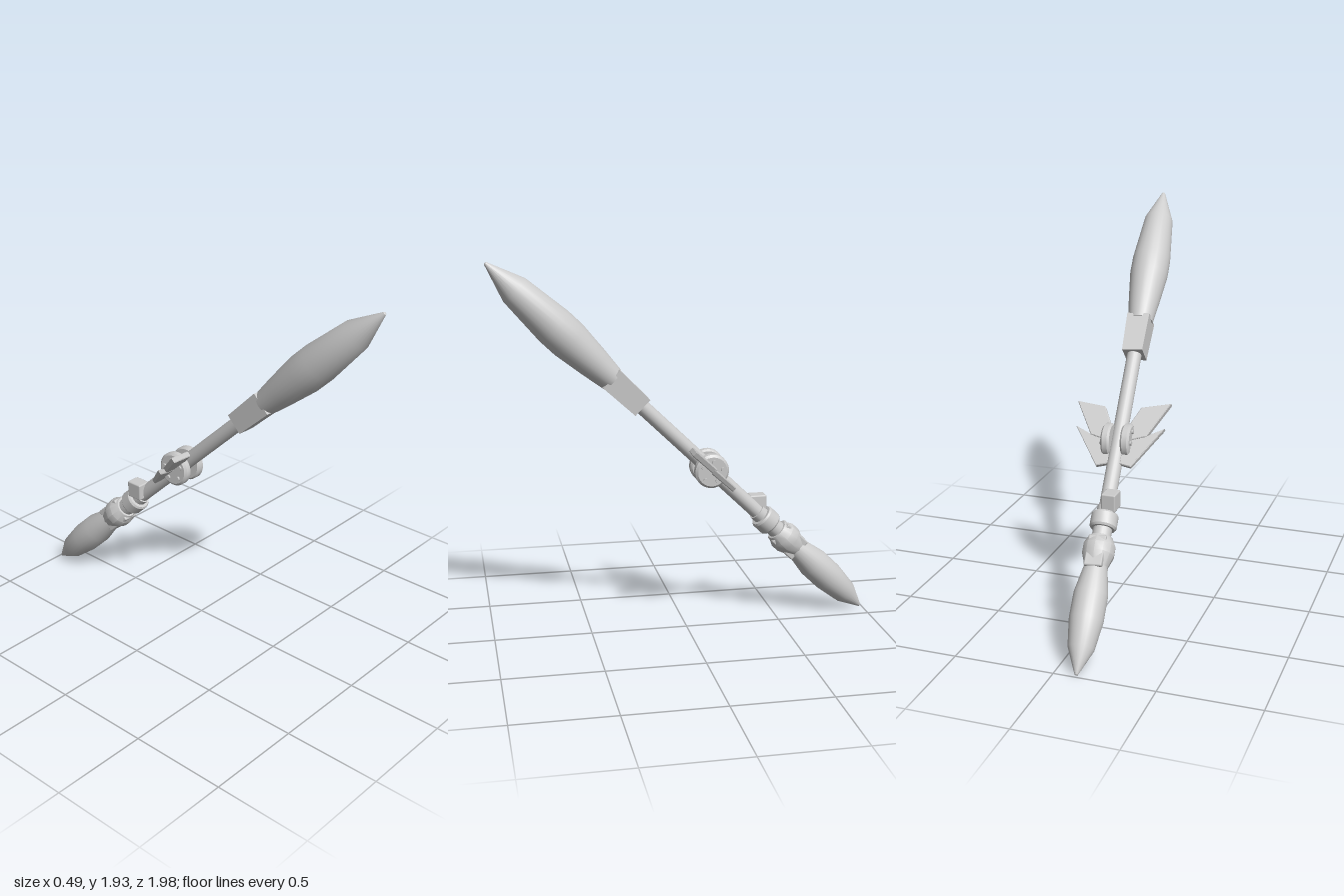
import * as THREE from 'three';
import { toCreasedNormals } from 'three/addons/utils/BufferGeometryUtils.js';
import { RoundedBoxGeometry } from 'three/addons/geometries/RoundedBoxGeometry.js';

const grey = new THREE.MeshStandardMaterial({ color: 0xcccccc });
grey.name = 'light grey';

function add(parent, name, geometry, x = 0, y = 0, z = 0) {
  const mesh = new THREE.Mesh(geometry, grey);
  mesh.name = name;
  mesh.position.set(x, y, z);
  parent.add(mesh);
  return mesh;
}

// Turned part from [radius, height] pairs
const turned = (pairs, sides = 24, crease = 0.6) => toCreasedNormals(
  new THREE.LatheGeometry(pairs.map(([r, h]) => new THREE.Vector2(r, h)), sides), crease);

// Square block whose half width changes from bottom to top
function taperedBlock(bottom, top, height) {
  const g = new THREE.CylinderGeometry(top * Math.SQRT2, bottom * Math.SQRT2, height, 4);
  g.rotateY(Math.PI / 4);
  return toCreasedNormals(g, 0.3);
}

// Flat wing blade in the local xy plane
function plate(points, thickness) {
  const shape = new THREE.Shape(points.map(([x, y]) => new THREE.Vector2(x, y)));
  const g = new THREE.ExtrudeGeometry(shape, {
    depth: thickness - 0.008, bevelEnabled: true, bevelThickness: 0.004,
    bevelSize: 0.004, bevelOffset: -0.004, bevelSegments: 1,
  });
  g.translate(0, 0, -thickness / 2 + 0.004);
  return g;
}

export function createModel() {
  const model = new THREE.Group();
  model.name = 'doubleEndedSpear';

  // Weapon frame: y runs along the shaft from the lower tip
  const spear = new THREE.Group();
  spear.name = 'spear';
  const axis = new THREE.Vector3(0.21, 1.93, 1.98).normalize();
  const side = new THREE.Vector3(1, 0, 0).addScaledVector(axis, -axis.x).normalize();
  const depth = new THREE.Vector3().crossVectors(side, axis);
  spear.quaternion.setFromRotationMatrix(new THREE.Matrix4().makeBasis(side, axis, depth));
  spear.position.set(-0.11, 0.008, -0.99);
  model.add(spear);

  // Shaft
  add(spear, 'shaft', new THREE.CylinderGeometry(0.038, 0.038, 1.3, 20), 0, 1.15, 0);

  // Upper blade and socket
  add(spear, 'upperBlade', turned([[0, 1.92], [0.065, 1.925], [0.082, 2.05], [0.101, 2.22],
    [0.101, 2.32], [0.077, 2.58], [0.008, 2.766], [0, 2.77]]));
  add(spear, 'upperSocket', taperedBlock(0.054, 0.06, 0.22), 0, 1.83, 0);

  // Lower blade
  add(spear, 'lowerBlade', turned([[0, 0], [0.008, 0.004], [0.064, 0.13], [0.083, 0.27],
    [0.083, 0.4], [0.055, 0.55], [0, 0.555]]));

  // Lower socket: clamp block, bulge, neck and collar
  add(spear, 'clampBlock', new RoundedBoxGeometry(0.09, 0.16, 0.13, 1, 0.008), 0, 0.6, 0);
  add(spear, 'socketBulge', turned([[0, 0.53], [0.055, 0.53], [0.08, 0.6], [0.08, 0.645],
    [0.058, 0.69], [0, 0.69]], 12, 0.55));
  add(spear, 'neck', new THREE.CylinderGeometry(0.047, 0.047, 0.1, 20), 0, 0.71, 0);
  add(spear, 'collar', turned([[0, 0.735], [0.06, 0.735], [0.067, 0.745], [0.067, 0.805],
    [0.06, 0.815], [0, 0.815]], 24, 0.5));
  add(spear, 'collarLip', new THREE.CylinderGeometry(0.045, 0.045, 0.04, 20), 0, 0.83, 0);

  // Upright lug beside the collar
  add(model, 'lug', new RoundedBoxGeometry(0.074, 0.09, 0.09, 1, 0.008), -0.07, 0.642, -0.39);

  // Hub discs with bolts, and the forked wings, mirrored
  for (const s of [1, -1]) {
    const hub = new THREE.Group();
    hub.name = s > 0 ? 'leftHub' : 'rightHub';
    hub.position.set(s * 0.052, 1.217, 0);
    hub.rotation.z = -s * Math.PI / 2;
    spear.add(hub);
    add(hub, 'disc', turned([[0, -0.024], [0.08, -0.024], [0.089, -0.014], [0.089, 0.012],
      [0.077, 0.022], [0, 0.022]], 28, 0.5));
    for (let i = 0; i < 5; i++) {
      const a = i / 5 * Math.PI * 2 + 0.3;
      add(hub, 'bolt', new THREE.CylinderGeometry(0.011, 0.011, 0.012, 10),
        0.054 * Math.cos(a), 0.025, 0.054 * Math.sin(a));
    }

    const flip = ([x, y]) => [s * x, y];
    const upper = [[0.03, 1.2], [0.145, 1.235], [0.247, 1.425], [0.095, 1.398], [0.03, 1.26]];
    const lower = [[0.03, 1.08], [0.09, 1.066], [0.232, 1.285], [0.14, 1.238], [0.03, 1.22]];
    add(spear, 'upperWing', plate(upper.map(flip), 0.03), 0, 0, -0.012);
    add(spear, 'lowerWing', plate(lower.map(flip), 0.026), 0, 0, -0.008);
  }

  return model;
}
